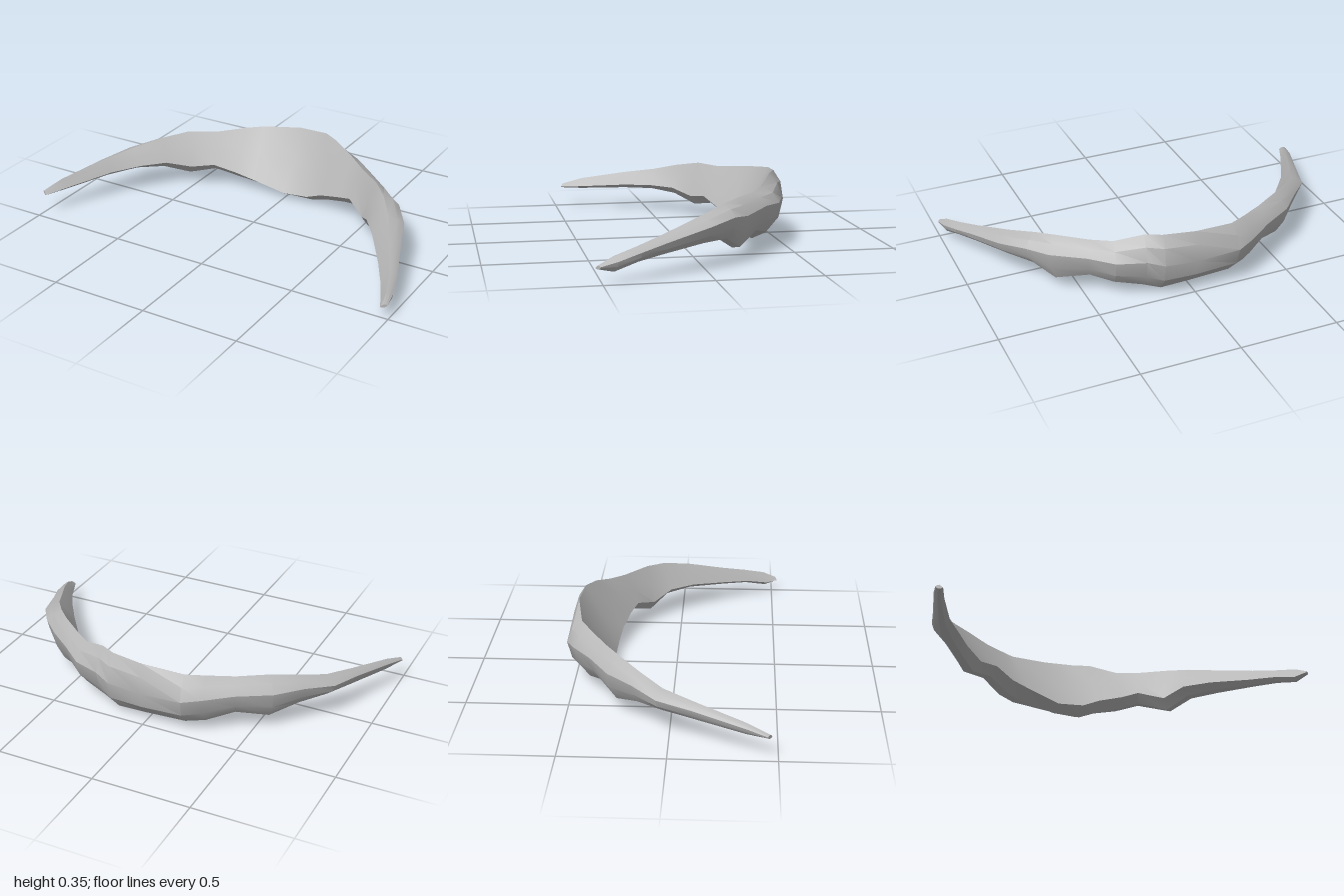
import * as THREE from 'three';
import { toCreasedNormals } from 'three/addons/utils/BufferGeometryUtils.js';

// Stations along the arch: outer x, z, inner x, z, top y, bottom y, body blend (0 horn, 1 body)
const STATIONS = [
  [-1, 0.45, -0.97, 0.47, 0.13, 0.11, 0],
  [-0.97, 0.35, -0.92, 0.36, 0.165, 0.11, 0],
  [-0.88, 0.11, -0.8, 0.13, 0.21, 0.125, 0],
  [-0.82, -0.06, -0.7, 0, 0.235, 0.13, 0],
  [-0.71, -0.18, -0.61, -0.11, 0.27, 0.115, 0],
  [-0.6, -0.3, -0.5, -0.19, 0.295, 0.07, 0],
  [-0.44, -0.4, -0.39, -0.24, 0.293, 0.095, 0.1],
  [-0.31, -0.49, -0.28, -0.285, 0.31, 0.05, 0.25],
  [-0.22, -0.535, -0.18, -0.298, 0.32, 0.03, 0.5],
  [0, -0.525, 0, -0.315, 0.345, 0.003, 1],
  [0.17, -0.53, 0.14, -0.31, 0.355, 0.006, 0.75],
  [0.25, -0.5, 0.23, -0.295, 0.35, 0.04, 0.5],
  [0.39, -0.45, 0.35, -0.265, 0.31, 0.075, 0.2],
  [0.5, -0.36, 0.43, -0.23, 0.298, 0.105, 0],
  [0.65, -0.23, 0.54, -0.15, 0.297, 0.055, 0],
  [0.74, -0.15, 0.61, -0.06, 0.285, 0.118, 0],
  [0.83, -0.02, 0.7, 0.06, 0.25, 0.122, 0],
  [0.91, 0.2, 0.82, 0.24, 0.188, 0.1, 0],
  [0.96, 0.32, 0.89, 0.36, 0.155, 0.085, 0],
  [0.99, 0.43, 0.945, 0.47, 0.125, 0.055, 0],
  [1, 0.51, 0.97, 0.53, 0.09, 0.072, 0],
];

// Section outlines: u runs from outer to inner edge, v from bottom to top
const BODY = [[0.14, 1], [0.02, 0.82], [0, 0.55], [0.1, 0.3], [0.4, 0.1], [0.7, 0], [1, 0.09], [0.54, 0.54]];
const HORN = [[0.5, 1], [0.2, 0.88], [0, 0.68], [0.09, 0.34], [0.36, 0.04], [0.72, 0], [1, 0.22], [0.76, 0.62]];

function loftArch() {
  const n = BODY.length;
  const positions = [];
  const index = [];
  for (const [ox, oz, ix, iz, top, bottom, blend] of STATIONS) {
    for (let k = 0; k < n; k++) {
      const u = THREE.MathUtils.lerp(HORN[k][0], BODY[k][0], blend);
      const v = THREE.MathUtils.lerp(HORN[k][1], BODY[k][1], blend);
      positions.push(ox + (ix - ox) * u, bottom + (top - bottom) * v, oz + (iz - oz) * u);
    }
  }
  // Skin between neighbouring sections
  for (let s = 0; s < STATIONS.length - 1; s++) {
    for (let k = 0; k < n; k++) {
      const a = s * n + k;
      const b = s * n + (k + 1) % n;
      index.push(a, a + n, b, b, a + n, b + n);
    }
  }
  // Blunt caps on both tips
  const last = (STATIONS.length - 1) * n;
  for (let k = 1; k < n - 1; k++) {
    index.push(0, k, k + 1, last, last + k + 1, last + k);
  }
  const geometry = new THREE.BufferGeometry();
  geometry.setAttribute('position', new THREE.Float32BufferAttribute(positions, 3));
  geometry.setIndex(index);
  return toCreasedNormals(geometry, 0.5);
}

export function createModel() {
  const group = new THREE.Group();
  group.name = 'archedBone';
  const boneGrey = new THREE.MeshStandardMaterial({ color: 0xb8b8b8 });
  boneGrey.name = 'boneGrey';
  const bone = new THREE.Mesh(loftArch(), boneGrey);
  bone.name = 'boneArch';
  group.add(bone);
  return group;
}
